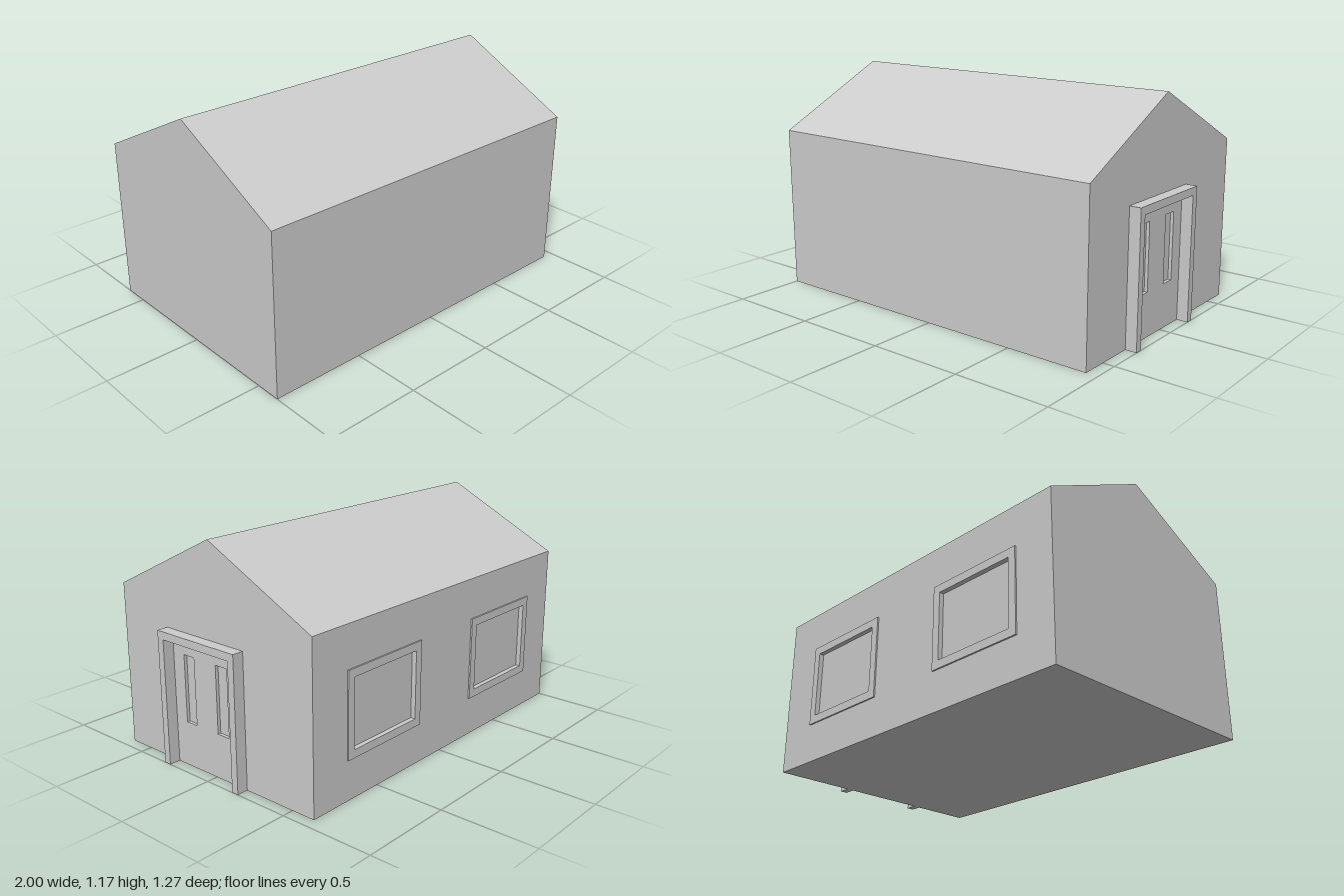
import * as THREE from 'three';

const material = new THREE.MeshStandardMaterial({ color: 0xcccccc, flatShading: true });

const rect = (u0, u1, y0, y1) => [[u0, y0], [u1, y0], [u1, y1], [u0, y1]];
const toPoints = (list) => list.map(([u, y]) => new THREE.Vector2(u, y));

// Flat outline with holes, extruded along local +z
function slab(name, outline, holes, depth, start) {
  const shape = new THREE.Shape(toPoints(outline));
  for (const hole of holes) shape.holes.push(new THREE.Path(toPoints(hole)));
  const geometry = new THREE.ExtrudeGeometry(shape, { depth, bevelEnabled: false });
  geometry.translate(0, 0, start);
  const mesh = new THREE.Mesh(geometry, material);
  mesh.name = name;
  return mesh;
}

function box(name, x0, x1, y0, y1, z0, z1) {
  const geometry = new THREE.BoxGeometry(x1 - x0, y1 - y0, z1 - z0);
  geometry.translate((x0 + x1) / 2, (y0 + y1) / 2, (z0 + z1) / 2);
  const mesh = new THREE.Mesh(geometry, material);
  mesh.name = name;
  return mesh;
}

export function createModel() {
  const model = new THREE.Group();
  model.name = 'house';

  const left = 0.94, right = -1, front = 0.635, back = -0.63;
  const eave = 0.853, ridge = 1.168, thick = 0.06, recess = 0.017;

  // Solid body behind the two walls that have openings
  model.add(box('body', right, left - thick, 0, eave, back + thick, front));

  // Door end: local u runs along -z, depth along +x
  const doorEnd = new THREE.Group();
  doorEnd.name = 'doorEnd';
  doorEnd.rotation.y = Math.PI / 2;
  const doorPanes = [rect(-0.2, -0.13, 0.23, 0.577), rect(0.02, 0.095, 0.23, 0.577)];
  doorEnd.add(slab('doorWall', rect(-front, -back - thick, 0, eave), doorPanes, thick, left - thick));
  for (const pane of doorPanes) {
    doorEnd.add(slab('doorPane', pane, [], thick - recess, left - thick));
  }
  const doorFrame = [
    [-0.313, 0], [-0.275, 0], [-0.275, 0.65], [0.17, 0.65],
    [0.17, 0], [0.208, 0], [0.208, 0.69], [-0.313, 0.69],
  ];
  doorEnd.add(slab('doorFrame', doorFrame, [], 1 - left, left));

  // Gabled roof prism, running the full length
  const gable = [[-front, eave], [-back, eave], [0, ridge]];
  doorEnd.add(slab('roof', gable, [], left - right, right));
  model.add(doorEnd);

  // Back wall: local u runs along -x, depth along -z
  const backSide = new THREE.Group();
  backSide.name = 'backSide';
  backSide.rotation.y = Math.PI;
  const trim = 0.042, bottom = 0.205, top = 0.64;
  const windows = [[-0.715, -0.18], [0.248, 0.785]];
  const openings = windows.map(([a, b]) => rect(a + trim, b - trim, bottom + trim, top - trim));
  backSide.add(slab('backWall', rect(-left, -right, 0, eave), openings, thick, -back - thick));
  windows.forEach(([a, b], i) => {
    backSide.add(slab('windowFrame', rect(a, b, bottom, top), [openings[i]], 0.008, -back));
    backSide.add(slab('windowPane', openings[i], [], thick - recess, -back - thick));
  });
  model.add(backSide);

  return model;
}
